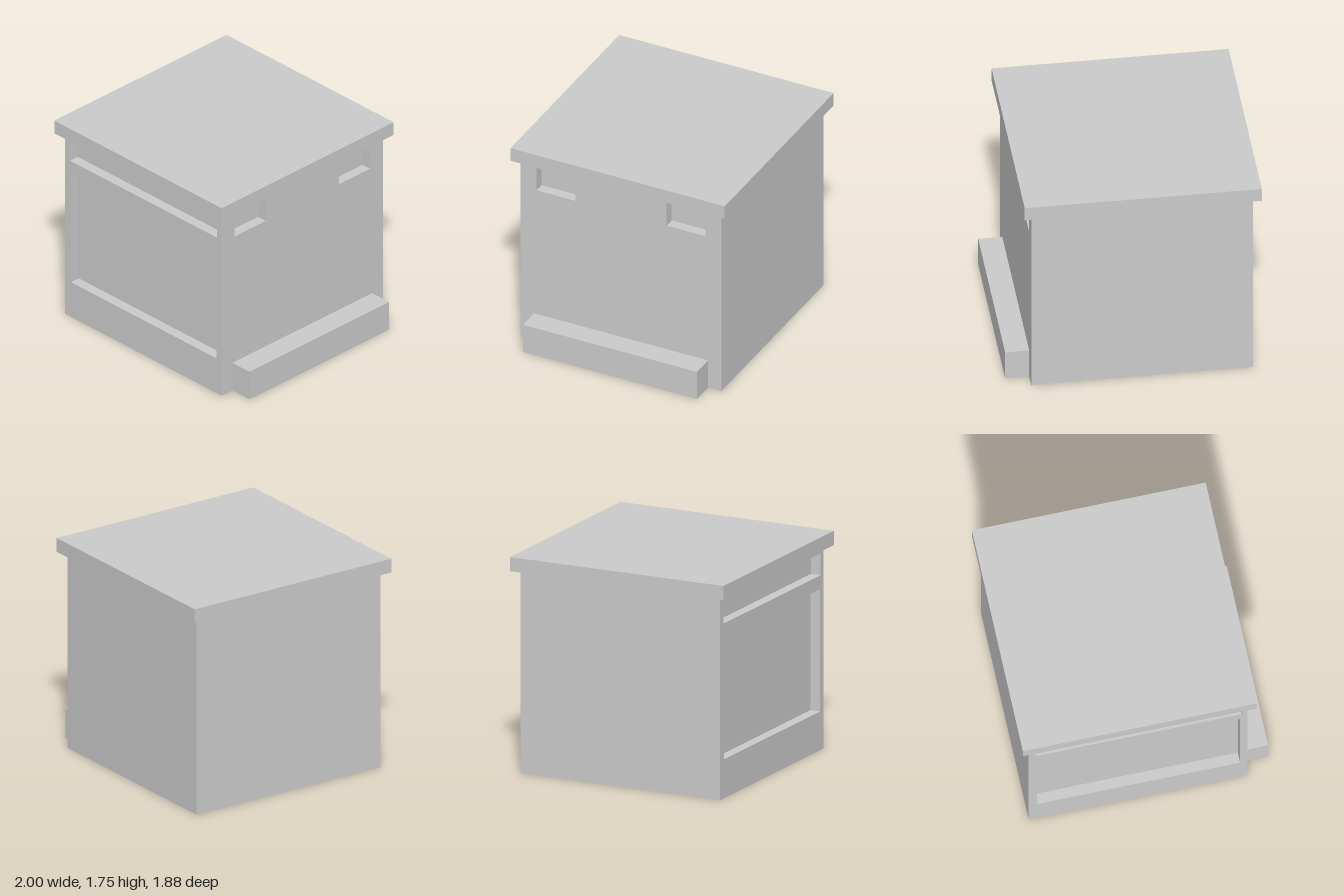
import * as THREE from 'three';

const material = new THREE.MeshStandardMaterial({ color: 0xcccccc, flatShading: true, side: THREE.DoubleSide });
const FACES = ['+x', '-x', '+y', '-y', '+z', '-z'];
const DEPTH = 0.085; // depth of every recess

// Cabinet extents
const X0 = -0.94, X1 = 0.81, Z = 0.88, H = 1.64;

// Box given by its corners, with the listed faces left out
function shellBox(name, [x0, y0, z0], [x1, y1, z1], open = []) {
  const geometry = new THREE.BoxGeometry(x1 - x0, y1 - y0, z1 - z0);
  const all = Array.from(geometry.index.array);
  geometry.setIndex(all.filter((_, i) => !open.includes(FACES[Math.floor(i / 6)])));
  geometry.clearGroups();
  geometry.translate((x0 + x1) / 2, (y0 + y1) / 2, (z0 + z1) / 2);
  const mesh = new THREE.Mesh(geometry, material);
  mesh.name = name;
  return mesh;
}

// Thin wall in the xy plane with rectangular openings [u0, v0, u1, v1]
function wall(name, u0, u1, openings) {
  const rect = (Type, a, b, c, d) => new Type([[a, b], [c, b], [c, d], [a, d]].map(p => new THREE.Vector2(...p)));
  const shape = rect(THREE.Shape, u0, 0, u1, H);
  for (const o of openings) shape.holes.push(rect(THREE.Path, ...o));
  const mesh = new THREE.Mesh(new THREE.ShapeGeometry(shape), material);
  mesh.name = name;
  return mesh;
}

export function createModel() {
  const model = new THREE.Group();
  model.name = 'cabinet';

  // Left and back walls; the bottom is open
  model.add(shellBox('bodyShell', [X0, 0, -Z], [X1, H, Z], ['+x', '+z', '-y', '+y']));

  // Front wall with a shallow upper recess and a large panel recess
  const frontOpenings = { upperRecess: [-0.885, 1.415, 0.76, 1.59], panelRecess: [-0.875, 0.315, 0.75, 1.305] };
  const front = wall('frontWall', X0, X1, Object.values(frontOpenings));
  front.position.z = Z;
  model.add(front);
  for (const [name, [a, b, c, d]] of Object.entries(frontOpenings)) {
    model.add(shellBox(name, [a, b, Z - DEPTH], [c, d, Z], ['+z']));
  }

  // Side wall with a pair of slots under the lid
  const slots = [[-0.742, 1.39, -0.4, 1.625], [0.4, 1.39, 0.742, 1.625]];
  const side = wall('sideWall', -Z, Z, slots);
  side.rotation.y = Math.PI / 2;
  side.position.x = X1;
  model.add(side);
  for (const [a, b, c, d] of slots) {
    model.add(shellBox('sideSlot', [X1 - DEPTH, b, a], [X1, d, c], ['+x']));
  }

  // Overhanging lid
  model.add(shellBox('lid', [-1, H, -0.94], [0.87, 1.755, 0.94]));

  // Step along the side, hollow underneath
  model.add(shellBox('sideStep', [X1, 0, -0.763], [1, 0.25, 0.763], ['-x', '-y']));

  return model;
}
